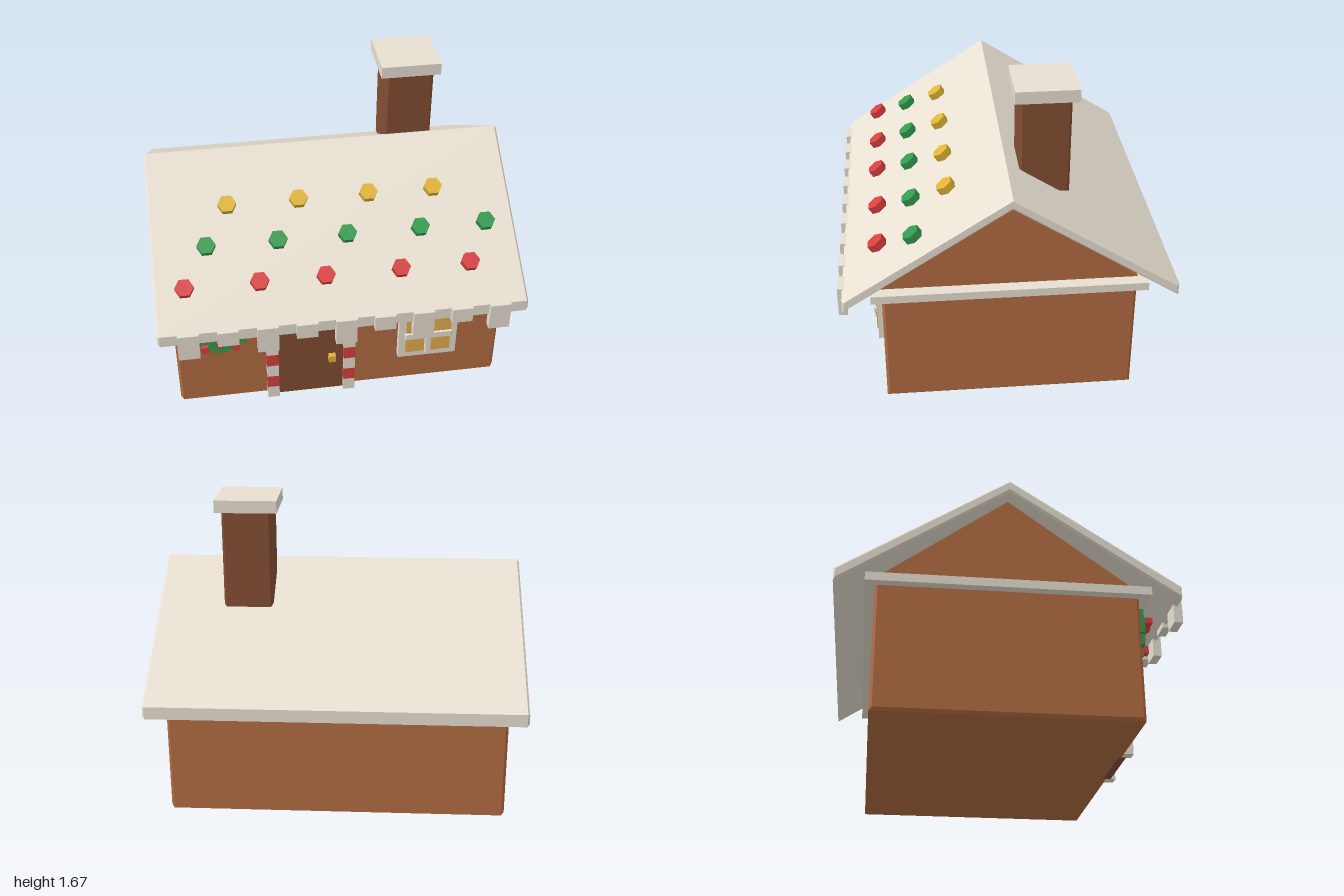
import * as THREE from 'three';

export function createModel() {
  const house = new THREE.Group();
  house.name = 'cottage';

  const material = (name, color) => {
    const m = new THREE.MeshStandardMaterial({ color });
    m.name = name;
    return m;
  };
  const wallBrown = material('biscuit brown', 0xb26c41);
  const darkBrown = material('dark brown', 0x844e33);
  const icing = material('cream icing', 0xe8e0d2);
  const red = material('candy red', 0xd83f3f);
  const green = material('candy green', 0x339a4d);
  const yellow = material('candy yellow', 0xdfb436);
  const glass = material('warm window', 0xe4b050);

  const add = (parent, name, geometry, mat, x = 0, y = 0, z = 0) => {
    const mesh = new THREE.Mesh(geometry, mat);
    mesh.name = name;
    mesh.position.set(x, y, z);
    parent.add(mesh);
    return mesh;
  };
  const group = (name) => {
    const g = new THREE.Group();
    g.name = name;
    house.add(g);
    return g;
  };
  // Box given by its minimum and maximum corners
  const box = (parent, name, mat, [x0, y0, z0], [x1, y1, z1]) =>
    add(parent, name, new THREE.BoxGeometry(x1 - x0, y1 - y0, z1 - z0), mat,
      (x0 + x1) / 2, (y0 + y1) / 2, (z0 + z1) / 2);
  // Extrudes a [z, y] outline along x, centred, with chamfered ends
  const alongX = (points, width, bevel) => {
    const shape = new THREE.Shape(points.map(([z, y]) => new THREE.Vector2(-z, y)));
    const g = new THREE.ExtrudeGeometry(shape, {
      depth: width - 2 * bevel, bevelEnabled: bevel > 0, bevelSize: bevel,
      bevelOffset: -bevel, bevelThickness: bevel, bevelSegments: 1,
    });
    g.translate(0, 0, -(width - 2 * bevel) / 2);
    g.rotateY(Math.PI / 2);
    return g;
  };
  const chamferBox = (w, h, d, b) => alongX(
    [[-d / 2, -h / 2], [d / 2, -h / 2], [d / 2, h / 2], [-d / 2, h / 2]], w, b);

  // Walls, ledge and gables
  add(house, 'walls', chamferBox(1.83, 0.67, 1.33, 0.015), wallBrown, 0, 0.335, -0.01);
  box(house, 'icingLedge', icing, [-0.965, 0.655, -0.725], [0.965, 0.7, 0.71]);
  add(house, 'gable', alongX([[0.665, 0.695], [-0.685, 0.695], [-0.01, 1.19]], 1.8, 0), wallBrown);

  // Folded roof slab
  add(house, 'roof', alongX([
    [-0.01, 1.262], [0.855, 0.7], [0.855, 0.632], [-0.01, 1.195], [-0.877, 0.632], [-0.877, 0.7],
  ], 1.99, 0.011), icing);

  // Chimney
  add(house, 'chimney', chamferBox(0.265, 0.53, 0.265, 0.012), darkBrown, 0.4975, 1.335, -0.2125);
  box(house, 'chimneyCap', icing, [0.33, 1.603, -0.38], [0.662, 1.67, -0.05]);

  // Icing drips along the front eave, alternately long and short
  const drips = group('icingDrips');
  for (let i = 0; i < 9; i++) {
    const x = -0.836 + i * 0.209;
    box(drips, 'drip', icing, [x - 0.057, i % 2 ? 0.615 : 0.545, 0.835], [x + 0.057, 0.708, 0.88]);
  }

  // Hexagonal sweets on the front slope
  const sweets = group('roofSweets');
  const sweet = new THREE.CylinderGeometry(0.051, 0.051, 0.042, 6, 1, false, Math.PI / 6).toNonIndexed();
  sweet.computeVertexNormals();
  const rows = [
    [yellow, 1.1, 0.3, [-0.57, -0.18, 0.205, 0.565]],
    [green, 0.977, 0.485, [-0.7, -0.315, 0.062, 0.463, 0.827]],
    [red, 0.857, 0.67, [-0.833, -0.436, -0.082, 0.325, 0.705]],
  ];
  for (const [mat, y, z, xs] of rows)
    for (const x of xs) add(sweets, 'sweet', sweet, mat, x, y, z).rotation.x = Math.atan(0.65);

  // Door with striped candy frame
  const door = group('door');
  box(door, 'doorPanel', darkBrown, [-0.36, 0.0, 0.64], [0.02, 0.5, 0.68]);
  box(door, 'doorKnob', yellow, [-0.07, 0.233, 0.675], [-0.03, 0.277, 0.71]);
  for (const x of [-0.387, 0.047])
    for (let i = 0; i < 6; i++)
      box(door, 'postStripe', i % 2 ? red : icing,
        [x - 0.033, i / 12, 0.65], [x + 0.033, (i + 1) / 12, 0.707]);
  for (let i = 0; i < 5; i++)
    box(door, 'lintelStripe', i % 2 ? red : icing,
      [-0.4 + i * 0.092, 0.5, 0.65], [-0.308 + i * 0.092, 0.565, 0.707]);

  // Window
  const win = group('window');
  box(win, 'windowFrame', icing, [0.33, 0.2, 0.645], [0.663, 0.535, 0.692]);
  box(win, 'windowPane', glass, [0.37, 0.24, 0.691], [0.625, 0.495, 0.699]);
  add(win, 'uprightBar', chamferBox(0.038, 0.27, 0.025, 0.006), icing, 0.497, 0.368, 0.7);
  add(win, 'crossBar', chamferBox(0.27, 0.038, 0.025, 0.006), icing, 0.497, 0.368, 0.7);

  // Wreath made of blocks, with berries and a bow
  const wreath = group('wreath');
  wreath.position.set(-0.67, 0.55, 0);
  for (let i = 0; i < 12; i++) {
    const a = (i * Math.PI) / 6;
    add(wreath, 'leafBlock', new THREE.BoxGeometry(0.08, 0.08, 0.05), green,
      0.12 * Math.cos(a), 0.12 * Math.sin(a), 0.675);
  }
  for (const [x, y] of [[-0.085, -0.11], [0.085, -0.11], [0, -0.08]])
    add(wreath, 'berry', new THREE.BoxGeometry(0.04, 0.04, 0.03), red, x, y, 0.71);
  for (const side of [-1, 1])
    add(wreath, 'bowLoop', new THREE.BoxGeometry(0.065, 0.03, 0.04), red, side * 0.055, 0.065, 0.74);
  add(wreath, 'bowKnot', new THREE.BoxGeometry(0.045, 0.03, 0.07), red, 0, 0.06, 0.73);

  return house;
}
